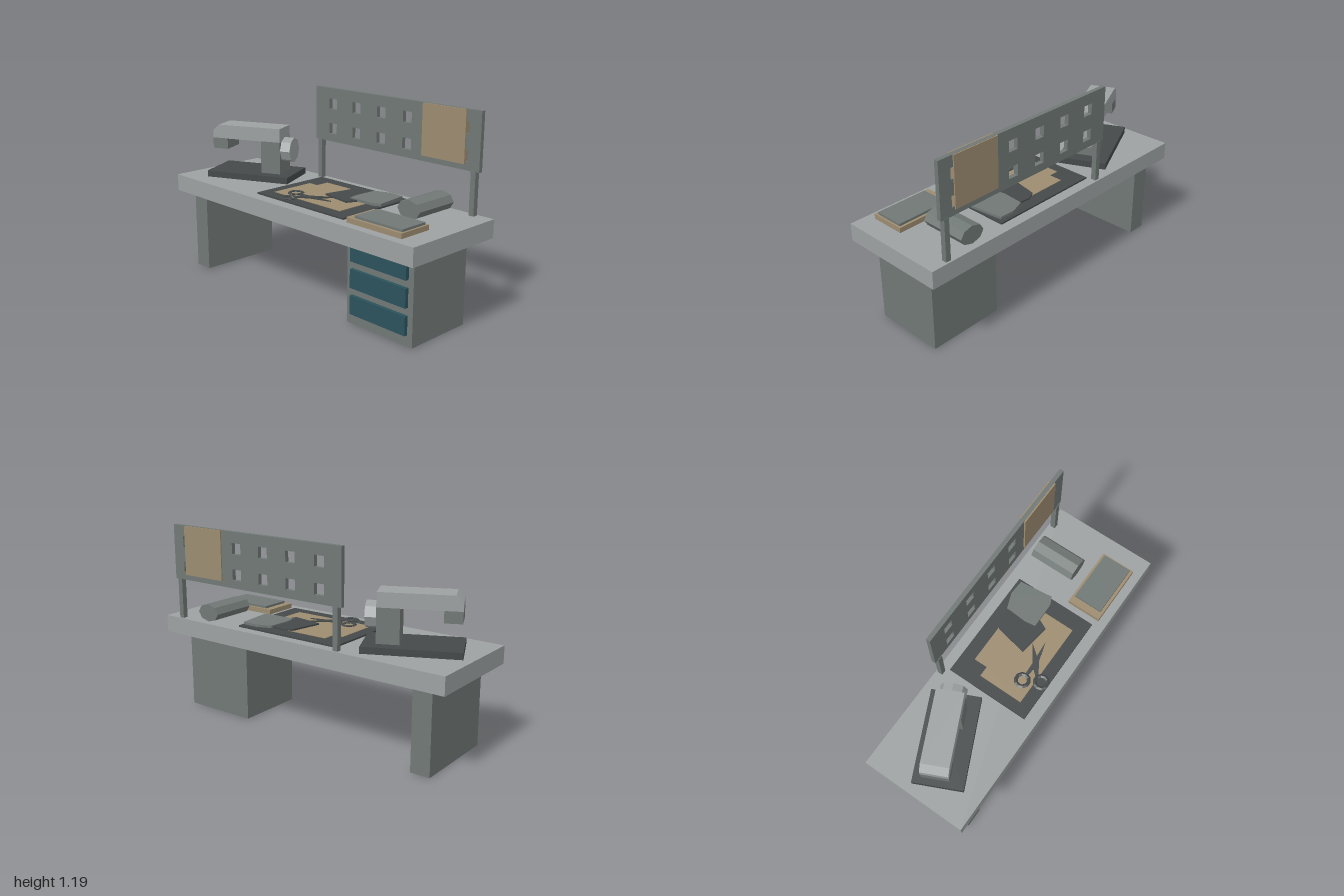
import * as THREE from 'three';

export function createModel() {
  const mat = (name, color) => {
    const m = new THREE.MeshStandardMaterial({ color, flatShading: true });
    m.name = name;
    return m;
  };
  const light = mat('light grey', 0x9da1a1);
  const grey = mat('grey', 0x707875);
  const dark = mat('charcoal', 0x45494a);
  const tan = mat('tan', 0x9c8c70);
  const teal = mat('teal', 0x2b525b);

  const model = new THREE.Group();
  model.name = 'sewingDesk';

  const add = (name, geometry, material, parent = model) => {
    const mesh = new THREE.Mesh(geometry, material);
    mesh.name = name;
    parent.add(mesh);
    return mesh;
  };
  // Box given by its limits on each axis
  const box = (name, [x0, x1], [y0, y1], [z0, z1], material, parent) => {
    const g = new THREE.BoxGeometry(x1 - x0, y1 - y0, z1 - z0);
    g.translate((x0 + x1) / 2, (y0 + y1) / 2, (z0 + z1) / 2);
    return add(name, g, material, parent);
  };
  const toShape = (pts) => new THREE.Shape(pts.map(([x, y]) => new THREE.Vector2(x, y)));
  const extrude = (shape, depth) =>
    new THREE.ExtrudeGeometry(shape, { depth, bevelEnabled: false });
  // Flat plate from (x, z) outline points, lying between two heights
  const plate = (name, pts, y0, y1, material, parent) => {
    const g = extrude(toShape(pts.map(([x, z]) => [x, -z])), y1 - y0);
    g.rotateX(-Math.PI / 2).translate(0, y0, 0);
    return add(name, g, material, parent);
  };

  // Desk
  box('tabletop', [-1, 1], [0.5, 0.607], [-0.335, 0.335], light);
  box('panelLeg', [-0.895, -0.775], [0, 0.5], [-0.27, 0.275], grey);
  box('drawerCabinet', [0.44, 0.915], [0, 0.5], [-0.217, 0.22], grey);
  for (let i = 0; i < 3; i++) {
    const y = 0.065 + i * 0.155;
    box('drawerFront', [0.48, 0.88], [y, y + 0.11], [0.22, 0.242], teal);
  }

  // Pegboard with square holes, on two posts
  const board = toShape([[-0.35, 0.855], [0.915, 0.855], [0.915, 1.19], [-0.35, 1.19]]);
  const h = 0.033;
  for (let i = 0; i < 6; i++) {
    for (const y of [0.936, 1.091]) {
      const x = -0.2 + i * 0.201;
      board.holes.push(new THREE.Path([
        [x - h, y - h], [x - h, y + h], [x + h, y + h], [x + h, y - h],
      ].map(([a, b]) => new THREE.Vector2(a, b))));
    }
  }
  add('pegboard', extrude(board, 0.026).translate(0, 0, -0.321), grey);
  for (const x of [-0.31, 0.879]) {
    box('boardPost', [x - 0.016, x + 0.016], [0.607, 0.86], [-0.323, -0.291], grey);
  }
  box('hangingPattern', [0.52, 0.82], [0.888, 1.189], [-0.328, -0.286], tan);

  // Sewing machine, turned on the desk
  const machine = new THREE.Group();
  machine.name = 'sewingMachine';
  machine.position.set(-0.63, 0, -0.027);
  machine.rotation.y = THREE.MathUtils.degToRad(25);
  model.add(machine);
  box('machineBase', [-0.278, 0.278], [0.607, 0.647], [-0.15, 0.15], dark, machine);
  box('machineColumn', [0.07, 0.2], [0.647, 0.851], [-0.08, 0.08], grey, machine);
  box('machineHead', [-0.266, -0.164], [0.783, 0.851], [-0.08, 0.08], grey, machine);
  const arm = toShape([[-0.266, 0.85], [0.2, 0.85], [0.2, 0.937], [-0.225, 0.937], [-0.266, 0.9]]);
  add('machineArm', extrude(arm, 0.16).translate(0, 0, -0.08), light, machine);
  const wheel = new THREE.CylinderGeometry(0.078, 0.078, 0.066, 8);
  wheel.rotateZ(-Math.PI / 2).translate(0.232, 0.795, 0);
  add('handWheel', wheel, light, machine);

  // Cutting mat and paper pattern
  box('cuttingMat', [-0.275, 0.445], [0.607, 0.617], [-0.27, 0.262], dark);
  plate('paperPattern', [
    [-0.205, 0.187], [0.345, 0.187], [0.345, -0.187], [-0.14, -0.187], [-0.14, -0.1], [-0.205, -0.1],
  ], 0.617, 0.62, tan);

  // Folded cloth
  plate('clothUnder', [
    [0.06, 0.02], [0.258, 0.05], [0.29, -0.02], [0.235, -0.2], [0.155, -0.207], [0.1, -0.18],
  ], 0.62, 0.63, dark);
  plate('clothFold', [
    [0.235, -0.01], [0.4, -0.012], [0.45, -0.035], [0.425, -0.245], [0.33, -0.25], [0.235, -0.215], [0.225, -0.08],
  ], 0.622, 0.637, grey);

  // Scissors
  const scissors = new THREE.Group();
  scissors.name = 'scissors';
  model.add(scissors);
  for (const [x, z] of [[-0.088, 0.12], [-0.035, 0.218]]) {
    const ring = new THREE.TorusGeometry(0.039, 0.012, 4, 10);
    ring.rotateX(Math.PI / 2).scale(1, 0.5, 1).translate(x, 0.625, z);
    add('scissorHandle', ring, dark, scissors);
  }
  plate('scissorBlade', [[-0.045, 0.112], [-0.045, 0.13], [0.05, 0.138], [0.185, 0.098], [0.04, 0.108]],
    0.62, 0.626, dark, scissors);
  plate('scissorBlade', [[-0.025, 0.17], [-0.008, 0.18], [0.06, 0.137], [0.14, 0.035], [0.025, 0.115]],
    0.621, 0.629, dark, scissors);

  // Fabric roll, slightly flattened
  const roll = new THREE.CylinderGeometry(0.08, 0.08, 0.29, 8);
  roll.rotateX(Math.PI / 2).scale(1, 0.68, 1).translate(0.68, 0.661, -0.145);
  add('fabricRoll', roll, grey);

  // Tray with a folded cloth on it
  box('tray', [0.487, 0.876], [0.607, 0.637], [0.064, 0.28], tan);
  box('trayCloth', [0.532, 0.864], [0.637, 0.651], [0.08, 0.262], grey);

  return model;
}
